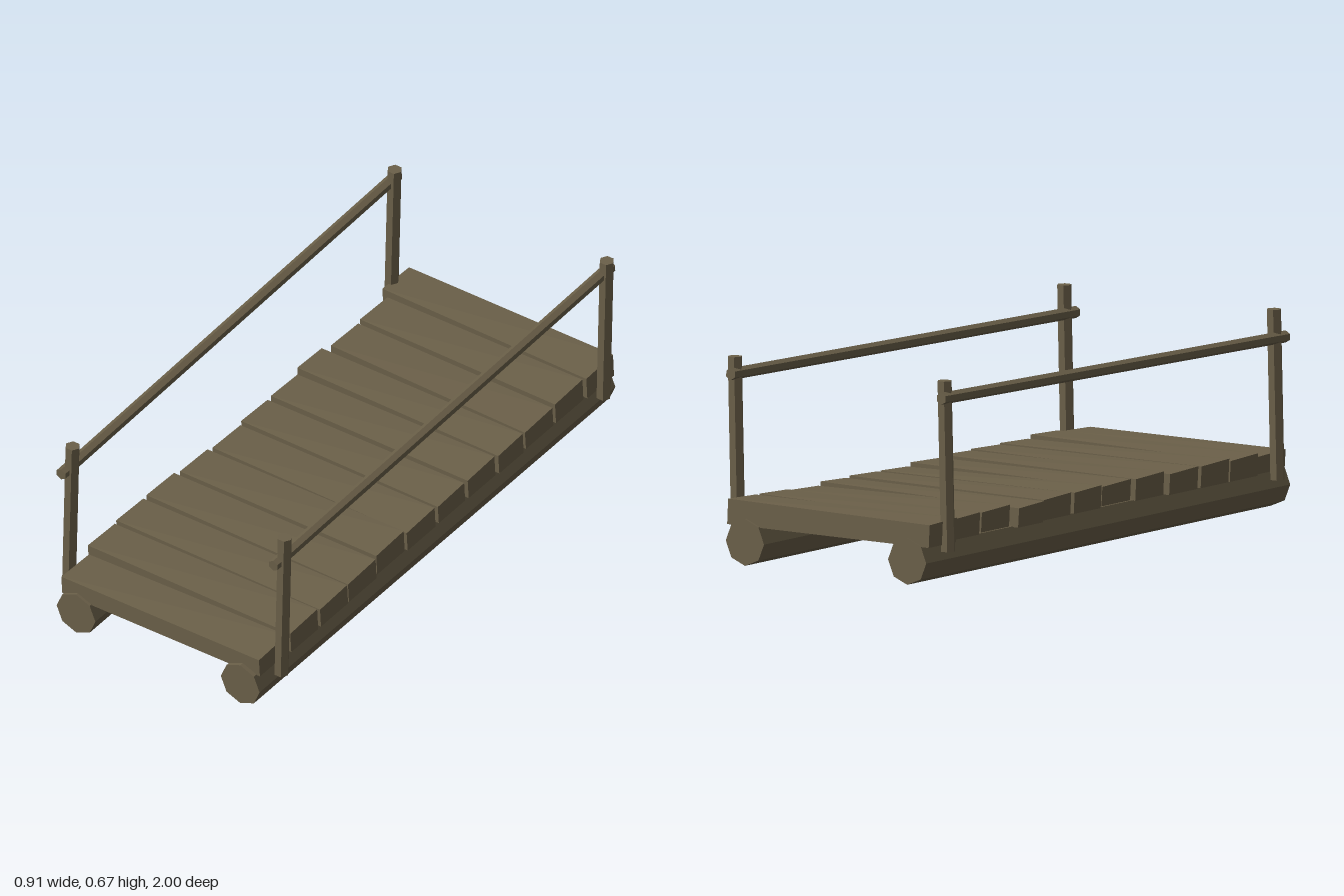
import * as THREE from 'three';

const wood = new THREE.MeshStandardMaterial({ color: 0x6b6049 });
wood.name = 'weatheredWood';
wood.flatShading = true;

// Straight faceted pole between two points along z
function poleZ(name, radius, sides, from, to) {
  const a = new THREE.Vector3(...from), b = new THREE.Vector3(...to);
  const geo = new THREE.CylinderGeometry(radius, radius, a.distanceTo(b), sides);
  geo.rotateX(Math.PI / 2);
  const mesh = new THREE.Mesh(geo, wood);
  mesh.name = name;
  mesh.position.copy(a).add(b).multiplyScalar(0.5);
  mesh.lookAt(b);
  return mesh;
}

// Upright hexagonal post, leaning towards +x with level ends
function post(name, xBottom, xTop, z) {
  const y0 = 0.11, y1 = 0.67;
  const geo = new THREE.CylinderGeometry(0.025, 0.025, y1 - y0, 6);
  geo.rotateY(Math.PI / 6);
  const p = geo.attributes.position;
  for (let i = 0; i < p.count; i++) {
    p.setX(i, p.getX(i) + (p.getY(i) > 0 ? xTop : xBottom));
  }
  geo.computeVertexNormals();
  const mesh = new THREE.Mesh(geo, wood);
  mesh.name = name;
  mesh.position.set(0, (y0 + y1) / 2, z);
  return mesh;
}

// Rough plank: a box whose ends differ a little in height and in z
function plank(name, [z0, z1, x0, x1, topLeft, topRight, skew]) {
  const geo = new THREE.BoxGeometry(1, 1, 1);
  const p = geo.attributes.position;
  for (let i = 0; i < p.count; i++) {
    const right = p.getX(i) > 0, up = p.getY(i) > 0, front = p.getZ(i) > 0;
    const top = (right ? topRight : topLeft) - (front === right ? 0.006 : 0);
    p.setXYZ(i,
      (right ? x1 : x0) + (up ? 0 : 0.004),
      up ? top : 0.132,
      (front ? z1 : z0) + (right ? skew : -skew));
  }
  geo.computeVertexNormals();
  const mesh = new THREE.Mesh(geo, wood);
  mesh.name = name;
  return mesh;
}

export function createModel() {
  const model = new THREE.Group();
  model.name = 'footbridge';

  // Two octagonal log beams
  model.add(poleZ('rightBeam', 0.077, 8, [-0.335, 0.08, -1], [-0.335, 0.08, 1]));
  model.add(poleZ('leftBeam', 0.077, 8, [0.318, 0.08, -1], [0.318, 0.08, 1]));

  // Deck planks: back z, front z, x ends, top heights at the ends, skew
  const planks = [
    [-0.995, -0.845, -0.425, 0.392, 0.213, 0.216, 0.004],
    [-0.832, -0.678, -0.395, 0.385, 0.206, 0.212, 0.003],
    [-0.662, -0.508, -0.39, 0.385, 0.208, 0.202, 0.002],
    [-0.49, -0.353, -0.415, 0.39, 0.202, 0.207, 0.004],
    [-0.332, -0.182, -0.395, 0.385, 0.206, 0.207, -0.002],
    [-0.164, -0.016, -0.395, 0.383, 0.208, 0.202, -0.003],
    [0, 0.157, -0.39, 0.385, 0.206, 0.207, 0.002],
    [0.168, 0.322, -0.4, 0.378, 0.21, 0.211, -0.002],
    [0.335, 0.49, -0.418, 0.388, 0.207, 0.207, 0.003],
    [0.503, 0.655, -0.418, 0.39, 0.21, 0.205, -0.002],
    [0.667, 0.818, -0.418, 0.39, 0.207, 0.211, 0.002],
    [0.832, 0.988, -0.4, 0.382, 0.196, 0.202, -0.003],
  ];
  const deck = new THREE.Group();
  deck.name = 'deck';
  planks.forEach((spec, i) => deck.add(plank('plank' + (i + 1), spec)));
  model.add(deck);

  // Leaning corner posts
  for (const [end, z] of [['Front', 0.905], ['Back', -0.905]]) {
    model.add(post('right' + end + 'Post', -0.43, -0.416, z));
    model.add(post('left' + end + 'Post', 0.415, 0.428, z));
  }

  // Sloping handrails, higher at the back
  model.add(poleZ('rightRail', 0.02, 6, [-0.432, 0.617, -0.945], [-0.43, 0.575, 0.95]));
  model.add(poleZ('leftRail', 0.02, 6, [0.416, 0.617, -0.945], [0.414, 0.575, 0.95]));

  return model;
}
